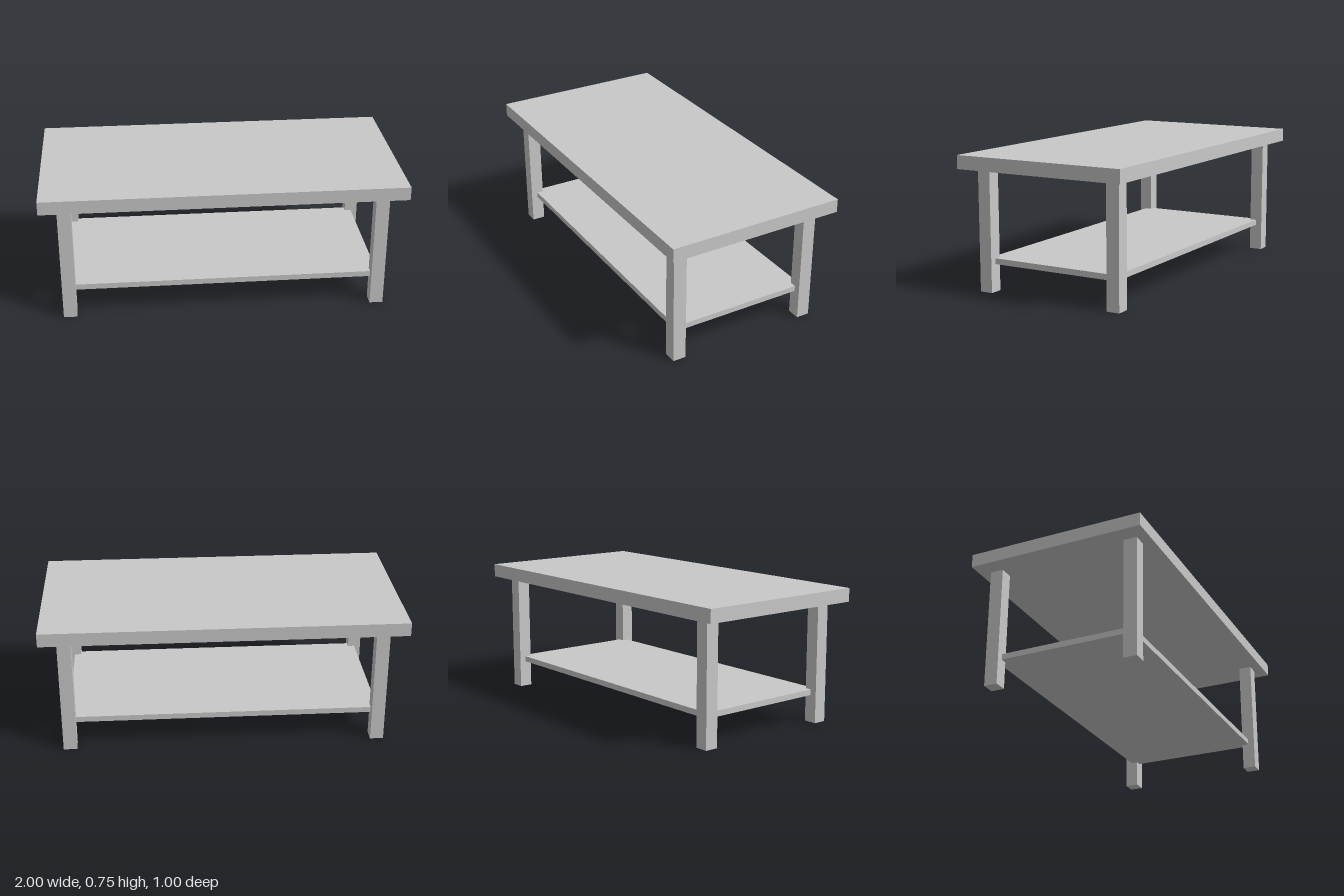
import * as THREE from 'three';

export function createModel() {
  const model = new THREE.Group();
  model.name = 'coffeeTable';
  const grey = new THREE.MeshStandardMaterial({ color: 0xc8c8c8 });
  grey.name = 'light grey';

  // Box standing on y = bottom
  const addBox = (name, width, height, depth, x, bottom, z) => {
    const mesh = new THREE.Mesh(new THREE.BoxGeometry(width, height, depth), grey);
    mesh.name = name;
    mesh.position.set(x, bottom + height / 2, z);
    model.add(mesh);
  };

  const legX = 0.867, legZ = 0.4, legSize = 0.075, legHeight = 0.677;

  // Thick top slab
  addBox('tableTop', 2, 0.075, 1, 0, legHeight, 0);

  // Thin lower shelf, its corners let into the middle of the legs
  addBox('shelf', legX * 2, 0.032, legZ * 2, 0, 0.153, 0);

  // Four square legs
  for (const [side, sx] of [['Left', 1], ['Right', -1]]) {
    for (const [end, sz] of [['front', 1], ['back', -1]]) {
      addBox(`${end}${side}Leg`, legSize, legHeight, legSize, sx * legX, 0, sz * legZ);
    }
  }
  return model;
}
